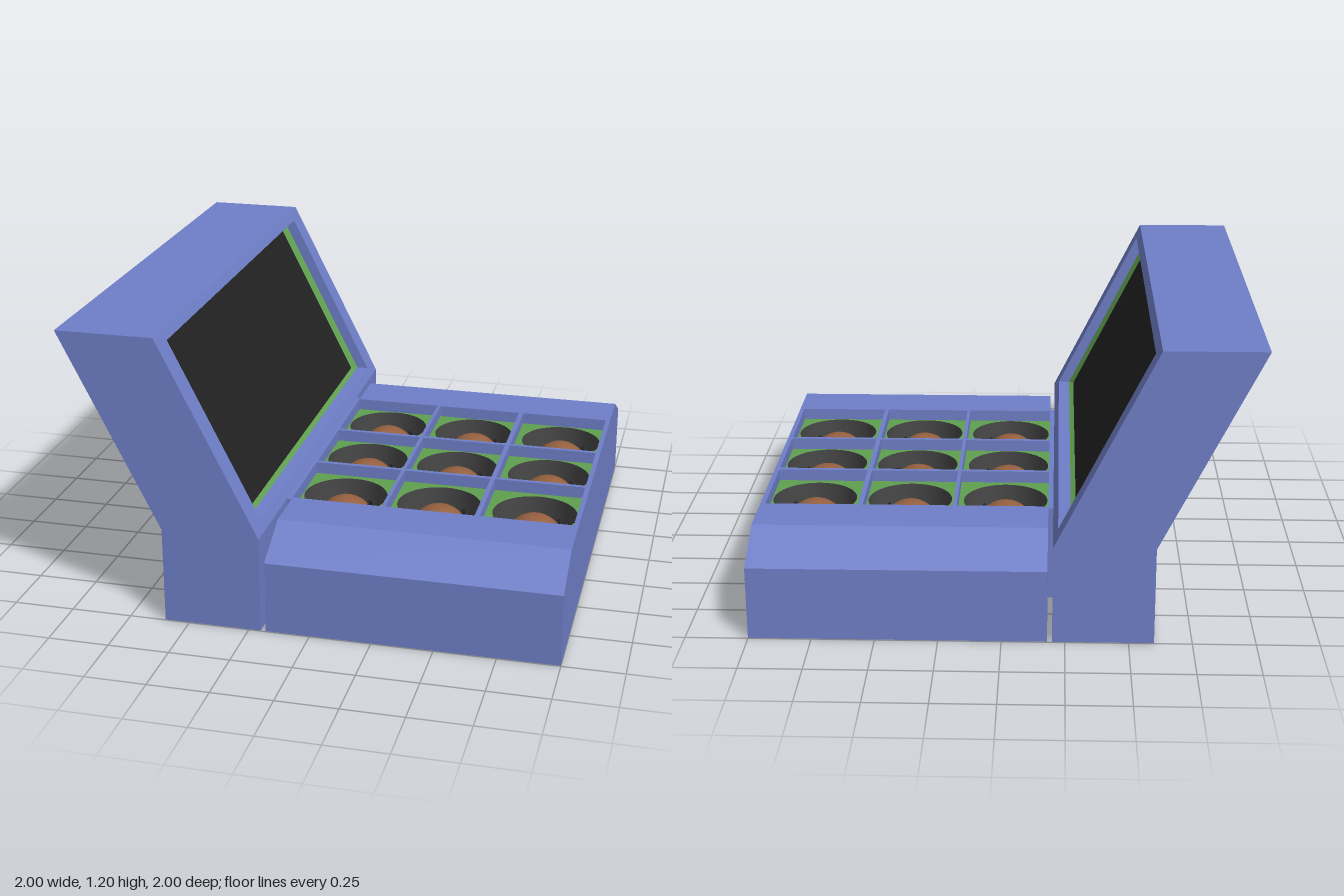
import * as THREE from 'three';

const mat = (color, side = THREE.FrontSide) => new THREE.MeshStandardMaterial({ color, side });
const BLUE = mat(0x6f7fc8);
const GREEN = mat(0x5f9f4f, THREE.DoubleSide);
const BLACK = mat(0x222222, THREE.DoubleSide);
const CUP = mat(0x484848, THREE.DoubleSide);
const BROWN = mat(0x95603f);

function add(parent, name, geometry, material, x = 0, y = 0, z = 0) {
  const mesh = new THREE.Mesh(geometry, material);
  mesh.name = name;
  mesh.position.set(x, y, z);
  parent.add(mesh);
  return mesh;
}

const shapeOf = (pts) => new THREE.Shape(pts.map(([x, y]) => new THREE.Vector2(x, y)));
const extrude = (shape, depth, curveSegments = 32) =>
  new THREE.ExtrudeGeometry(shape, { depth, bevelEnabled: false, curveSegments });
const rect = (x0, x1, y0, y1) => [[x0, y0], [x1, y0], [x1, y1], [x0, y1]];

// Point on the leaning front of the cabinet, pushed in by depth
const onSlope = (y, z, depth) => [-0.2 - (y - 0.4) / 2 - depth, y, z];

function quads(list) {
  const g = new THREE.BufferGeometry();
  const pos = list.flatMap(([a, b, c, d]) => [a, b, c, a, c, d].flat());
  g.setAttribute('position', new THREE.Float32BufferAttribute(pos, 3));
  g.computeVertexNormals();
  return g;
}

// Leaning cabinet with a sunken screen
function buildCabinet() {
  const group = new THREE.Group();
  group.name = 'screenCabinet';
  const back = [[-0.6, 1.2], [-1, 1.2], [-0.6, 0.4]];
  const full = shapeOf([[-0.6, 0], [-0.2, 0], [-0.2, 0.4], ...back]);
  const notched = shapeOf([[-0.6, 0], [-0.2, 0], [-0.2, 0.4], [-0.22, 0.44], [-0.29, 0.44],
    [-0.65, 1.16], [-0.58, 1.16], ...back]);
  add(group, 'cabinetLeftEnd', extrude(full, 0.1), BLUE, 0, 0, 0.9);
  add(group, 'cabinetRightEnd', extrude(full, 0.1), BLUE, 0, 0, -1);
  add(group, 'cabinetMiddle', extrude(notched, 1.8), BLUE, 0, 0, -0.9);

  const ring = (y0, y1, z, depth) =>
    [[y0, z], [y0, -z], [y1, -z], [y1, z]].map(([y, zz]) => onSlope(y, zz, depth));
  const outer = ring(0.44, 1.16, 0.9, 0.05);
  const inner = ring(0.45, 1.15, 0.855, 0.065);
  add(group, 'screenBezel', quads(outer.map((p, i) => {
    const j = (i + 1) % 4;
    return [p, outer[j], inner[j], inner[i]];
  })), GREEN);
  add(group, 'screen', quads([inner]), BLACK);
  return group;
}

// Cell limits of the three by three grid
const CELLS_X = [[-0.18, 0.195], [0.21, 0.58], [0.6, 0.98]];
const CELLS_Z = [[-0.58, -0.2], [-0.18, 0.18], [0.2, 0.58]];

// Play deck: open grid in the middle, a chamfered ridge on each side
function buildDeck() {
  const group = new THREE.Group();
  group.name = 'playDeck';
  const grid = shapeOf(rect(-0.2, 1, -0.6, 0.6));
  for (const [x0, x1] of CELLS_X)
    for (const [z0, z1] of CELLS_Z) grid.holes.push(shapeOf(rect(x0, x1, -z1, -z0)));
  add(group, 'deckGrid', extrude(grid, 0.4).rotateX(-Math.PI / 2), BLUE);

  for (const s of [1, -1]) {
    const profile = [[0.6, 0], [1, 0], [1, 0.3], [0.8, 0.4], [0.6, 0.4]].map(([z, y]) => [-s * z, y]);
    add(group, s > 0 ? 'leftRidge' : 'rightRidge',
      extrude(shapeOf(profile), 1.18).rotateY(Math.PI / 2), BLUE, -0.18);
  }
  return group;
}

// Round-headed critter with its face towards +x
function buildCritter() {
  const group = new THREE.Group();
  group.name = 'critter';
  const r = 0.125, headY = 0.22;
  add(group, 'body', new THREE.CylinderGeometry(r, r, headY - 0.02, 32, 1, true), BROWN, 0, headY / 2 + 0.01);
  add(group, 'head', new THREE.SphereGeometry(r, 32, 16, 0, Math.PI * 2, 0, Math.PI / 2), BROWN, 0, headY);
  add(group, 'nose', new THREE.SphereGeometry(0.018, 16, 10), BROWN, 0.128, headY + 0.01);
  for (const s of [1, -1]) {
    add(group, 'eye', new THREE.SphereGeometry(0.014, 12, 8), BLACK, 0.103, headY + 0.055, s * 0.04);
    const brow = add(group, 'brow', new THREE.TorusGeometry(0.026, 0.005, 6, 12, Math.PI),
      BLACK, 0.092, headY + 0.066, s * 0.04);
    brow.rotation.set(0, Math.PI / 2, 0);
  }
  return group;
}

// Green plate, hanging cup and critter for one cell
function buildHole(x, z, [x0, x1], [z0, z1]) {
  const group = new THREE.Group();
  group.name = 'critterHole';
  const plateY = 0.35, r = 0.175;
  const plate = shapeOf(rect(x0, x1, -z1, -z0));
  plate.holes.push(new THREE.Path().absarc(x, -z, r, 0, Math.PI * 2, true));
  add(group, 'holePlate', new THREE.ShapeGeometry(plate, 24).rotateX(-Math.PI / 2), GREEN, 0, plateY);
  add(group, 'cupWall', new THREE.CylinderGeometry(r, r, plateY - 0.01, 40, 1, true), CUP,
    x, (plateY + 0.01) / 2, z);
  add(group, 'cupFloor', new THREE.CircleGeometry(r, 40).rotateX(-Math.PI / 2), CUP, x, 0.01, z);
  const critter = buildCritter();
  critter.position.set(x, 0, z);
  group.add(critter);
  return group;
}

export function createModel() {
  const model = new THREE.Group();
  model.name = 'arcadeTable';
  model.add(buildCabinet(), buildDeck());
  CELLS_X.forEach((cx, i) => CELLS_Z.forEach((cz, j) => {
    model.add(buildHole(i * 0.4, (j - 1) * 0.4, cx, cz));
  }));
  // Small foot under the middle cup
  add(model, 'centreFoot', new THREE.CylinderGeometry(0.12, 0.12, 0.01, 32), BLACK, 0.4, 0.003, 0);
  return model;
}
